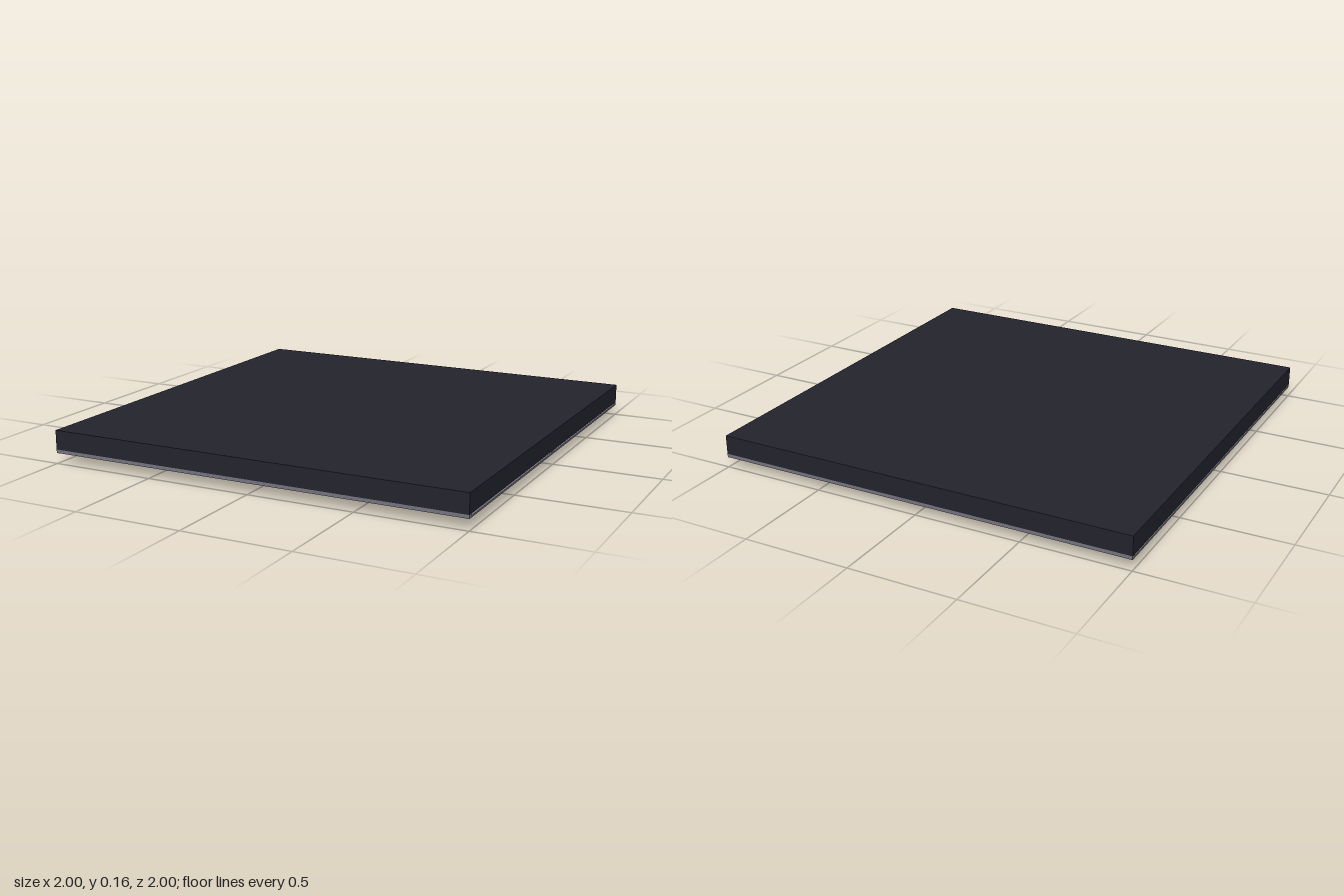
import * as THREE from 'three';

const mat = (name, color, side = THREE.FrontSide) => {
  const m = new THREE.MeshStandardMaterial({ color, side });
  m.name = name;
  return m;
};

export function createModel() {
  const slabMat = mat('dark slab', 0x23232d);
  const panelMat = mat('black panel', 0x1b1b20);
  const trimMat = mat('grey trim', 0x75727e);
  const metalMat = mat('light metal', 0xbcbcbe);
  const reflectorMat = mat('reflector', 0xa9adbc, THREE.DoubleSide);
  const lensMat = mat('warm lens', 0xcdbd92);
  const grilleMat = mat('black grille', 0x111113);
  const boltMat = mat('bolt steel', 0x77777d);

  const model = new THREE.Group();
  model.name = 'ceilingLightPanel';
  const add = (name, geo, material, x = 0, y = 0, z = 0, parent = model) => {
    const m = new THREE.Mesh(geo, material);
    m.name = name;
    m.position.set(x, y, z);
    parent.add(m);
    return m;
  };

  // Ceiling slab and the four dark tiles under it
  add('slab', new THREE.BoxGeometry(2, 0.09, 2), slabMat, 0, 0.111, 0);
  for (const x of [-0.5, 0.5])
    for (const z of [-0.5, 0.5])
      add('tile', new THREE.BoxGeometry(0.975, 0.014, 0.975), panelMat, x, 0.06, z);

  // Trim strips along the edges and the centre seams
  for (const p of [-0.99, 0, 0.99]) {
    add('trimAcross', new THREE.BoxGeometry(2, 0.016, 0.02), trimMat, 0, 0.058, p);
    add('trimLengthwise', new THREE.BoxGeometry(0.02, 0.008, 2), trimMat, p, 0.0535, 0);
  }

  // Round lamp housing
  const lamp = new THREE.Group();
  lamp.name = 'lamp';
  model.add(lamp);
  const lathe = pts => new THREE.LatheGeometry(pts.map(p => new THREE.Vector2(...p)), 64);
  add('housingSide', lathe([[0.383, 0.009], [0.39, 0.016], [0.39, 0.054]]), metalMat, 0, 0, 0, lamp);
  add('flange', lathe([[0.31, 0.006], [0.378, 0.006], [0.383, 0.009]]), metalMat, 0, 0, 0, lamp);
  add('reflector', lathe([[0.245, 0.042], [0.31, 0.006]]), reflectorMat, 0, 0, 0, lamp);
  add('lens', new THREE.CylinderGeometry(0.25, 0.25, 0.008, 64), lensMat, 0, 0.044, 0, lamp);

  // Protective grille: one ring and three crossing bars
  const ring = add('grilleRing', new THREE.TorusGeometry(0.142, 0.011, 8, 48), grilleMat, 0, 0.022, 0, lamp);
  ring.rotation.x = Math.PI / 2;
  for (let i = 0; i < 3; i++) {
    const bar = add('grilleBar', new THREE.BoxGeometry(0.022, 0.016, 0.58), grilleMat, 0, 0.022, 0, lamp);
    bar.rotation.y = i * Math.PI / 3;
  }

  // Six bolts on the flange
  for (let i = 0; i < 6; i++) {
    const a = i * Math.PI / 3;
    add('bolt', new THREE.CylinderGeometry(0.011, 0.011, 0.01, 12), boltMat,
      Math.sin(a) * 0.35, 0.005, Math.cos(a) * 0.35, lamp);
  }
  return model;
}
